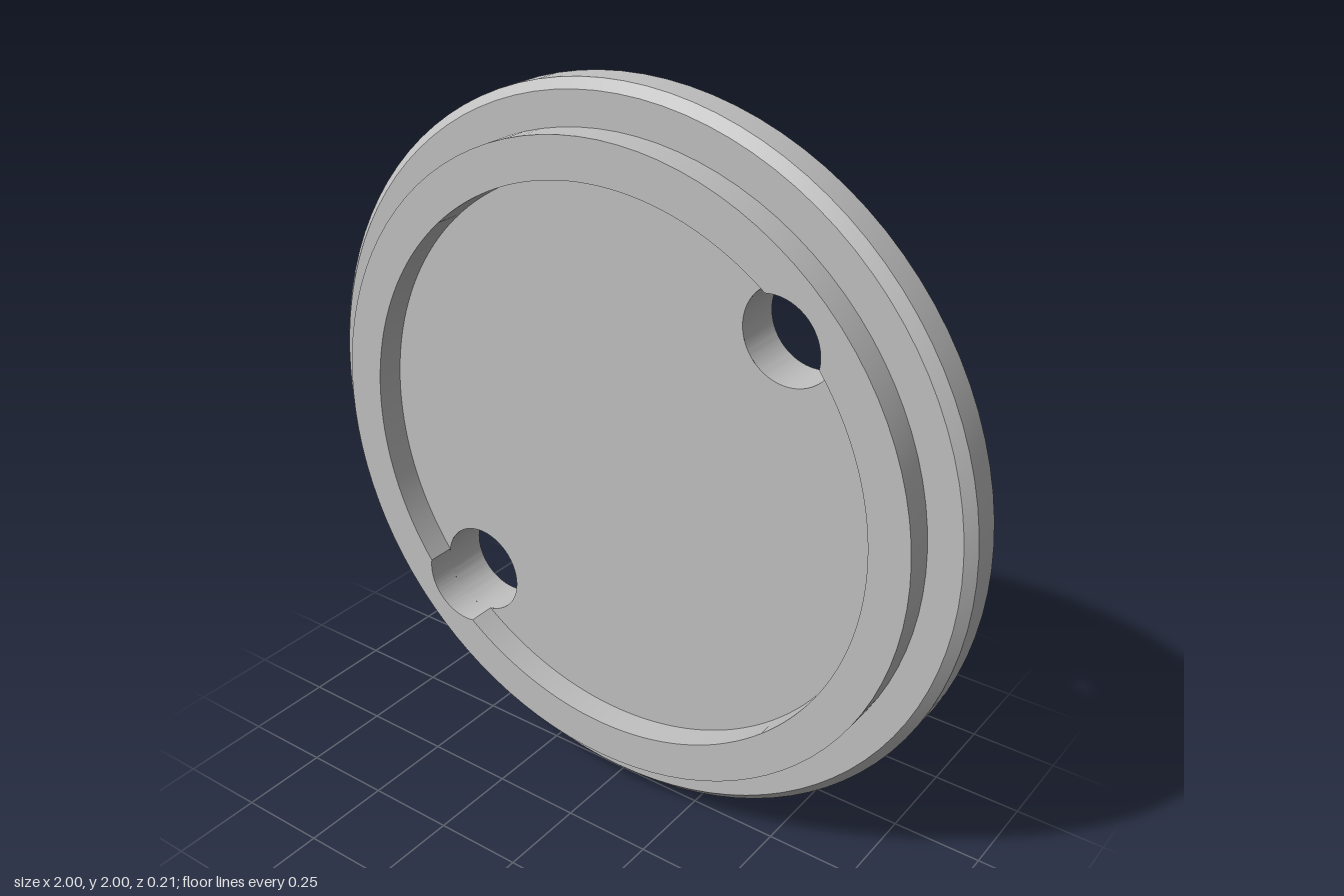
import * as THREE from 'three';
import { toCreasedNormals } from 'three/addons/utils/BufferGeometryUtils.js';

const BACK = -0.105, STEP = 0.025, FRONT = 0.105;     // z levels
const RIM = 0.975, RING = 0.885, RECESS = 0.775;      // radii
const HOLE = 0.128, REACH = 0.695, DIAGONAL = Math.PI / 4;
const SEG = 48;

// Angles at which a hole crosses the recess circle, seen from each centre
const recessAngle = Math.acos((REACH ** 2 + RECESS ** 2 - HOLE ** 2) / (2 * REACH * RECESS));
const holeAngle = Math.acos((RECESS ** 2 - REACH ** 2 - HOLE ** 2) / (2 * REACH * HOLE));

const circle = (r, x = 0, y = 0) => new THREE.Shape().absarc(x, y, r, 0, Math.PI * 2);

// Recess circle, either widened by the holes or bitten into by them
function recessOutline(bitten) {
  const path = new THREE.Shape();
  for (const q of [DIAGONAL, DIAGONAL + Math.PI]) {
    const next = q + Math.PI;
    path.absarc(0, 0, RECESS, q + recessAngle, next - recessAngle, false);
    path.absarc(REACH * Math.cos(next), REACH * Math.sin(next), HOLE,
      next - holeAngle, next + holeAngle, bitten);
  }
  return path;
}

// Inward-facing wall along a closed counter-clockwise outline
function innerWall(outline, z0, z1) {
  const points = outline.getPoints(SEG);
  const position = [], index = [];
  points.forEach((p, i) => {
    position.push(p.x, p.y, z0, p.x, p.y, z1);
    const a = 2 * i, b = 2 * ((i + 1) % points.length);
    index.push(a, b + 1, b, a, a + 1, b + 1);
  });
  const geometry = new THREE.BufferGeometry();
  geometry.setAttribute('position', new THREE.Float32BufferAttribute(position, 3));
  geometry.setIndex(index);
  return toCreasedNormals(geometry, 0.5);
}

export function createModel() {
  const grey = new THREE.MeshStandardMaterial({ color: 0xc0c0c0 });
  grey.name = 'grey';
  const group = new THREE.Group();
  group.name = 'twoHoleCover';
  const add = (name, geometry, z = 0) => {
    const mesh = new THREE.Mesh(geometry, grey);
    mesh.name = name;
    mesh.position.set(0, 1, z);
    group.add(mesh);
  };

  // Chamfered rim, shoulder and outside of the raised ring
  const profile = [[RIM, BACK], [1, BACK + 0.025], [1, 0], [RIM, STEP], [RING, STEP], [RING, FRONT]]
    .map(([r, z]) => new THREE.Vector2(r, z));
  const shell = new THREE.LatheGeometry(profile, SEG * 2).rotateX(Math.PI / 2);
  add('rim', toCreasedNormals(shell, 0.5));

  // Raised ring: front face and inside wall, notched by the holes
  const ringFace = circle(RING);
  ringFace.holes.push(recessOutline(false));
  add('ringFace', new THREE.ShapeGeometry(ringFace, SEG), FRONT);
  add('ringInnerWall', innerWall(recessOutline(false), STEP, FRONT));

  // Recess floor
  add('recessFloor', new THREE.ShapeGeometry(recessOutline(true), SEG), STEP);

  // Through holes and the back face, which is drawn mirrored and turned round
  const back = circle(RIM);
  const offset = REACH * Math.SQRT1_2;
  for (const s of [1, -1]) {
    add(s > 0 ? 'upperHole' : 'lowerHole', innerWall(circle(HOLE, s * offset, s * offset), BACK, STEP));
    back.holes.push(circle(HOLE, -s * offset, s * offset));
  }
  add('backFace', new THREE.ShapeGeometry(back, SEG).rotateY(Math.PI), BACK);

  return group;
}
